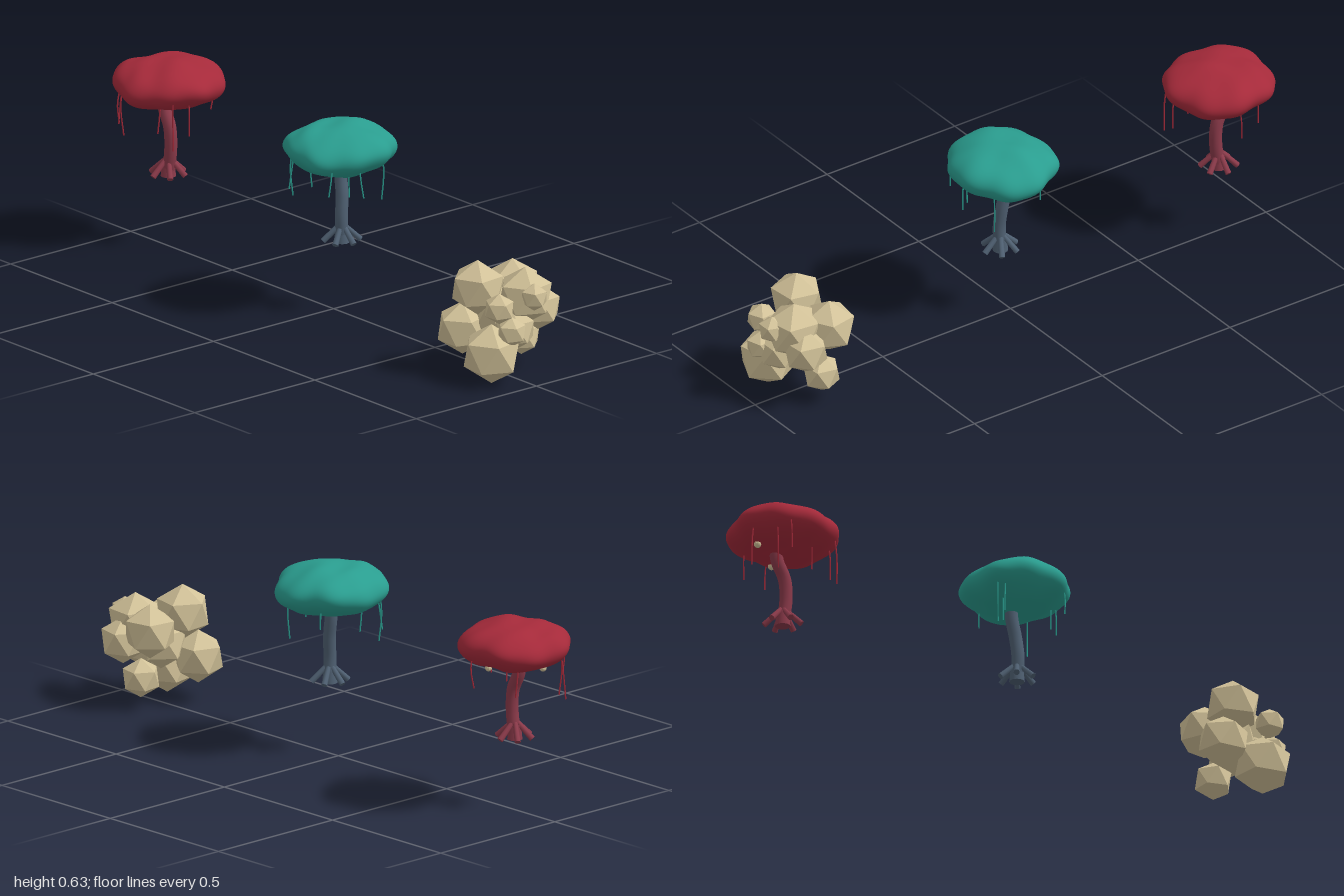
import * as THREE from 'three';
import { mergeVertices } from 'three/addons/utils/BufferGeometryUtils.js';

const mat = (name, color) => {
  const m = new THREE.MeshStandardMaterial({ color });
  m.name = name;
  return m;
};

function add(parent, name, geometry, material) {
  const mesh = new THREE.Mesh(geometry, material);
  mesh.name = name;
  parent.add(mesh);
  return mesh;
}

// Lumpy squashed ball with a scalloped rim
function canopyGeometry(rx, ry, rz, seed) {
  let g = new THREE.IcosahedronGeometry(1, 14);
  g.deleteAttribute('uv');
  g.deleteAttribute('normal');
  g = mergeVertices(g, 1e-4);
  const p = g.attributes.position;
  for (let i = 0; i < p.count; i++) {
    const x = p.getX(i), y = p.getY(i), z = p.getZ(i);
    const a = Math.atan2(z, x), flat = Math.hypot(x, z);
    const rim = 1 + flat * (0.025 * Math.sin(5 * a + seed) + 0.02 * Math.sin(9 * a + 2 * seed));
    const lump = 0.05 * Math.sin(5 * x + seed) * Math.sin(6 * z + 2 * seed)
      + 0.03 * Math.sin(9 * x - 4 * z + 5 * y + seed);
    const wave = 0.1 * flat * flat * Math.sin(3 * a + seed);
    p.setXYZ(i, x * rx * rim, (y * (1 + lump) + wave) * ry, z * rz * rim);
  }
  g.computeVertexNormals();
  return g;
}

const tube = (points, radius, segments, sides) => new THREE.TubeGeometry(
  new THREE.CatmullRomCurve3(points.map(q => new THREE.Vector3(...q))), segments, radius, sides);

function createTree(o) {
  const tree = new THREE.Group();
  tree.name = o.name;
  const [cx, cy] = o.center, [rx, ry, rz] = o.radii;
  add(tree, 'canopy', canopyGeometry(rx, ry, rz, o.seed), o.leaf).position.set(cx, cy, 0);

  // Bent trunk, slightly wider at the foot
  add(tree, 'trunk', tube(o.trunk, 0.021, 24, 12), o.bark);
  const [bx, by, bz] = o.trunk[0];
  add(tree, 'trunkFoot', new THREE.CylinderGeometry(0.02, 0.025, 0.05, 12), o.bark)
    .position.set(bx, by + 0.015, bz);

  // Splayed roots
  for (let i = 0; i < 6; i++) {
    const a = i * Math.PI / 3 + o.seed;
    const c = Math.cos(a), s = Math.sin(a);
    const root = add(tree, 'root', new THREE.CylinderGeometry(0.008, 0.01, 0.07, 8), o.bark);
    root.position.set(bx + c * 0.035, 0.266, bz + s * 0.035);
    root.quaternion.setFromUnitVectors(new THREE.Vector3(0, 1, 0),
      new THREE.Vector3(-c * 0.72, 0.7, -s * 0.72).normalize());
  }

  // Hanging vines: offset x, offset z, height of the tip
  o.vines.forEach(([dx, dz, tip], i) => {
    const x = cx + dx, top = cy - 0.01, sway = 0.008 * Math.sin(i * 2.4 + o.seed);
    add(tree, 'vine', tube([
      [x * 1 - dx * 0.04, top, dz * 0.95],
      [x + sway * 0.3, top * 0.55 + tip * 0.45, dz],
      [x + sway, tip, dz - sway],
    ], 0.0025, 8, 6), o.leaf);
  });
  return tree;
}

// Icosahedron standing on a corner
function rockGeometry() {
  const g = new THREE.IcosahedronGeometry(1, 0);
  g.rotateZ(Math.atan(2 / (1 + Math.sqrt(5))));
  return g;
}

export function createModel() {
  const model = new THREE.Group();
  model.name = 'treesAndRocks';
  const red = mat('crimson leaf', 0xa52a3a);
  const redBark = mat('crimson bark', 0x8b3a4a);
  const teal = mat('teal leaf', 0x2a9d8f);
  const slate = mat('slate bark', 0x4f6072);
  const sand = mat('sand stone', 0xd2c299);
  sand.flatShading = true;

  const redTree = createTree({
    name: 'redTree', leaf: red, bark: redBark, seed: 0.6,
    center: [-0.814, 0.552], radii: [0.18, 0.077, 0.18],
    trunk: [[-0.815, 0.245, 0], [-0.803, 0.33, 0], [-0.808, 0.4, 0], [-0.835, 0.46, 0], [-0.843, 0.53, 0]],
    vines: [[-0.06, 0.163, 0.435], [0.14, 0.1, 0.375], [-0.15, 0.07, 0.385], [-0.09, 0.125, 0.375],
      [0.06, 0.085, 0.41], [0.15, 0.04, 0.415], [-0.1, -0.08, 0.41], [0.03, -0.165, 0.43]],
  });
  model.add(redTree);

  // Small pale nodules under the red canopy
  for (const [x, z] of [[-0.799, -0.1], [-0.92, 0.024]]) {
    add(redTree, 'nodule', new THREE.SphereGeometry(0.012, 10, 8), sand).position.set(x, 0.489, z);
  }

  model.add(createTree({
    name: 'tealTree', leaf: teal, bark: slate, seed: 2.1,
    center: [0.034, 0.552], radii: [0.174, 0.08, 0.184],
    trunk: [[0.04, 0.245, 0], [0.042, 0.32, 0.003], [0.037, 0.39, -0.004], [0.025, 0.46, -0.008], [0.024, 0.53, -0.008]],
    vines: [[-0.125, 0.105, 0.38], [-0.1, 0.115, 0.41], [-0.08, 0.06, 0.41], [0.1, 0.05, 0.42],
      [0.11, 0.13, 0.44], [0.13, 0.028, 0.42], [0.1, -0.097, 0.38], [-0.07, -0.112, 0.45]],
  }));

  // Cluster of boulders: centre x, y, z, radius, yaw
  const rocks = new THREE.Group();
  rocks.name = 'rockCluster';
  const stone = rockGeometry();
  [
    [0.885, 0.099, 0.09, 0.099, 0.2],
    [0.81, 0.102, -0.097, 0.065, 0.1],
    [0.742, 0.15, 0.09, 0.088, 0.3],
    [0.9, 0.168, 0.007, 0.071, 0],
    [0.94, 0.178, 0.053, 0.05, 0.3],
    [0.955, 0.281, -0.029, 0.046, 0],
    [0.915, 0.255, 0.083, 0.051, 0.4],
    [0.79, 0.292, 0.067, 0.092, 0.1],
    [0.885, 0.265, -0.05, 0.095, 0.2],
    [0.775, 0.262, -0.09, 0.09, 0.5],
    [0.88, 0.215, -0.108, 0.078, 0.1],
    [0.82, 0.2, 0.0, 0.09, 0.6],
  ].forEach(([x, y, z, r, yaw]) => {
    const rock = add(rocks, 'boulder', stone, sand);
    rock.position.set(x, y, z);
    rock.scale.setScalar(r);
    rock.rotation.y = yaw;
  });
  model.add(rocks);
  return model;
}
